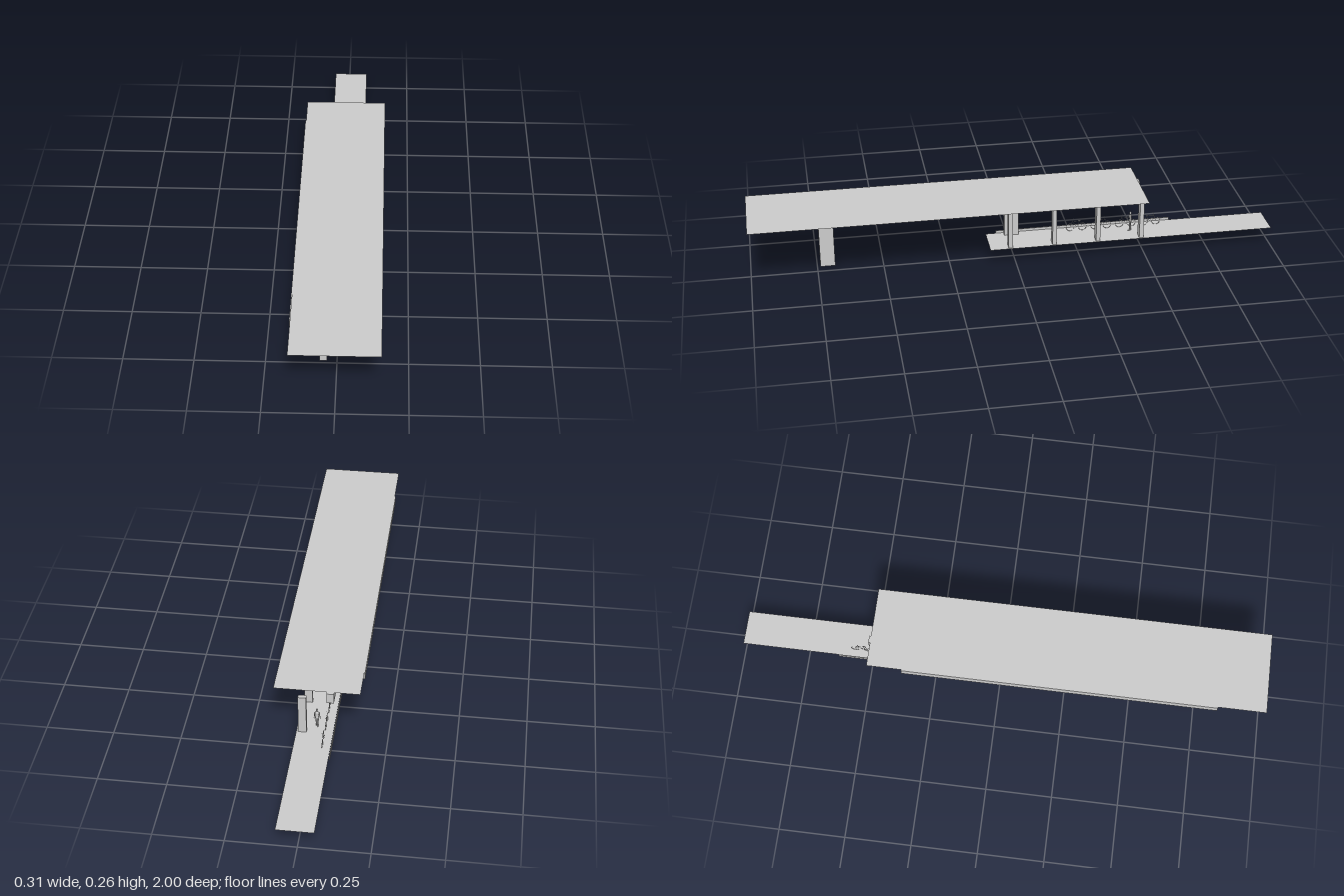
import * as THREE from 'three';

const FLOOR = 0.072;
const mat = new THREE.MeshStandardMaterial({ color: 0xcccccc });
const sheet = new THREE.MeshStandardMaterial({ color: 0xcccccc, side: THREE.DoubleSide });

function add(parent, name, geometry, material = mat) {
  const mesh = new THREE.Mesh(geometry, material);
  mesh.name = name;
  parent.add(mesh);
  return mesh;
}

// box given by its lower and upper limits on each axis
function box(parent, name, [x0, x1], [y0, y1], [z0, z1]) {
  const m = add(parent, name, new THREE.BoxGeometry(x1 - x0, y1 - y0, z1 - z0));
  m.position.set((x0 + x1) / 2, (y0 + y1) / 2, (z0 + z1) / 2);
  return m;
}

// thin horizontal sheet
function plane(parent, name, [x0, x1], y, [z0, z1]) {
  const g = new THREE.PlaneGeometry(x1 - x0, z1 - z0).rotateX(-Math.PI / 2);
  const m = add(parent, name, g, sheet);
  m.position.set((x0 + x1) / 2, y, (z0 + z1) / 2);
  return m;
}

// tapered round bar between two points
function bar(parent, name, a, b, r0, r1 = r0, sides = 6) {
  const p = new THREE.Vector3(...a), q = new THREE.Vector3(...b);
  const d = q.clone().sub(p);
  const m = add(parent, name, new THREE.CylinderGeometry(r1, r0, d.length(), sides));
  m.position.copy(p).add(q).multiplyScalar(0.5);
  m.quaternion.setFromUnitVectors(new THREE.Vector3(0, 1, 0), d.normalize());
  return m;
}

// standing person, feet at the origin, facing +z
function makePerson() {
  const g = new THREE.Group();
  g.name = 'person';
  const profile = [[0, 0.036], [0.0065, 0.038], [0.007, 0.043], [0.0055, 0.051],
    [0.0075, 0.06], [0.0085, 0.065], [0.003, 0.068], [0.0025, 0.072], [0, 0.072]];
  const torso = add(g, 'torso', new THREE.LatheGeometry(profile.map(p => new THREE.Vector2(...p)), 14));
  torso.scale.z = 0.62;
  const head = add(g, 'head', new THREE.SphereGeometry(0.0045, 12, 10));
  head.scale.set(0.85, 1.25, 1);
  head.position.y = 0.0755;
  for (const s of [-1, 1]) {
    const step = s * 0.003;
    bar(g, 'thigh', [s * 0.0035, 0.041, 0], [s * 0.003, 0.021, step * 0.8], 0.0038, 0.0025, 10);
    bar(g, 'shin', [s * 0.003, 0.022, step * 0.8], [s * 0.0025, 0.003, step], 0.0027, 0.0015, 10);
    const foot = add(g, 'foot', new THREE.SphereGeometry(0.002, 8, 6));
    foot.scale.set(1, 0.9, 2.4);
    foot.position.set(s * 0.0027, 0.0018, step + 0.002);
    bar(g, 'upperArm', [s * 0.008, 0.064, 0], [s * 0.0098, 0.05, -0.001], 0.0022, 0.0017, 8);
    bar(g, 'forearm', [s * 0.0098, 0.05, -0.001], [s * 0.0112, 0.038, 0.002], 0.0017, 0.0011, 8);
    const hand = add(g, 'hand', new THREE.SphereGeometry(0.0015, 8, 6));
    hand.scale.y = 1.7;
    hand.position.set(s * 0.0113, 0.036, 0.0025);
  }
  return g;
}

// bicycle in the x = 0 plane, wheels on the ground, length along z
function makeBicycle() {
  const g = new THREE.Group();
  g.name = 'bicycle';
  const r = 0.0006;
  for (const z of [-0.024, 0.024]) {
    const wheel = add(g, 'wheel', new THREE.TorusGeometry(0.0155, 0.0006, 4, 20));
    wheel.rotation.y = Math.PI / 2;
    wheel.position.set(0, 0.0161, z);
  }
  const rear = [0, 0.016, -0.024], front = [0, 0.016, 0.024], crank = [0, 0.014, -0.003];
  const seat = [0, 0.041, -0.011], head = [0, 0.04, 0.016], stem = [0, 0.05, 0.013];
  for (const [a, b] of [[rear, crank], [rear, seat], [crank, seat], [crank, head], [seat, head], [front, stem]]) {
    bar(g, 'frameTube', a, b, r);
  }
  bar(g, 'handlebar', [-0.004, 0.051, 0.012], [0.004, 0.051, 0.012], r);
  box(g, 'saddle', [-0.0015, 0.0015], [0.041, 0.043], [-0.016, -0.006]);
  return g;
}

export function createModel() {
  const model = new THREE.Group();
  model.name = 'shelter';

  // roof and platform sheets
  plane(model, 'roof', [-0.155, 0.155], 0.263, [-0.49, 1]);
  plane(model, 'platform', [-0.058, 0.075], FLOOR, [-1, 0.1]);
  box(model, 'platformCurb', [-0.063, -0.06], [0.066, 0.081], [-0.625, 0.06]);

  // main beam on two heavy columns
  const spine = [-0.062, -0.035];
  box(model, 'mainBeam', spine, [0.22, 0.26], [-0.497, 0.738]);
  box(model, 'frontColumn', spine, [0, 0.22], [0.682, 0.738]);
  box(model, 'middleColumn', spine, [FLOOR, 0.22], [-0.025, 0.03]);

  // cross beams carrying the edge beam
  for (const z of [0.355, 0.01, -0.35]) {
    box(model, 'crossBeam', [-0.148, 0.087], [0.23, 0.26], [z - 0.011, z + 0.011]);
  }
  box(model, 'edgeBeam', [-0.158, -0.148], [0.23, 0.26], [-0.36, 0.82]);

  // row of slender side columns
  for (let i = 0; i < 4; i++) {
    const z = 0.022 - i * 0.169;
    box(model, 'sideColumn', [0.038, 0.068], [FLOOR, 0.23], [z - 0.008, z + 0.008]);
  }

  // person and parked bicycles on the platform
  const person = makePerson();
  person.position.set(0.004, FLOOR, -0.455);
  model.add(person);
  for (let i = 0; i < 4; i++) {
    const bike = makeBicycle();
    bike.position.set(-0.029, FLOOR, -0.25 - i * 0.097);
    if (i % 2) bike.rotation.y = Math.PI;
    model.add(bike);
  }
  return model;
}
